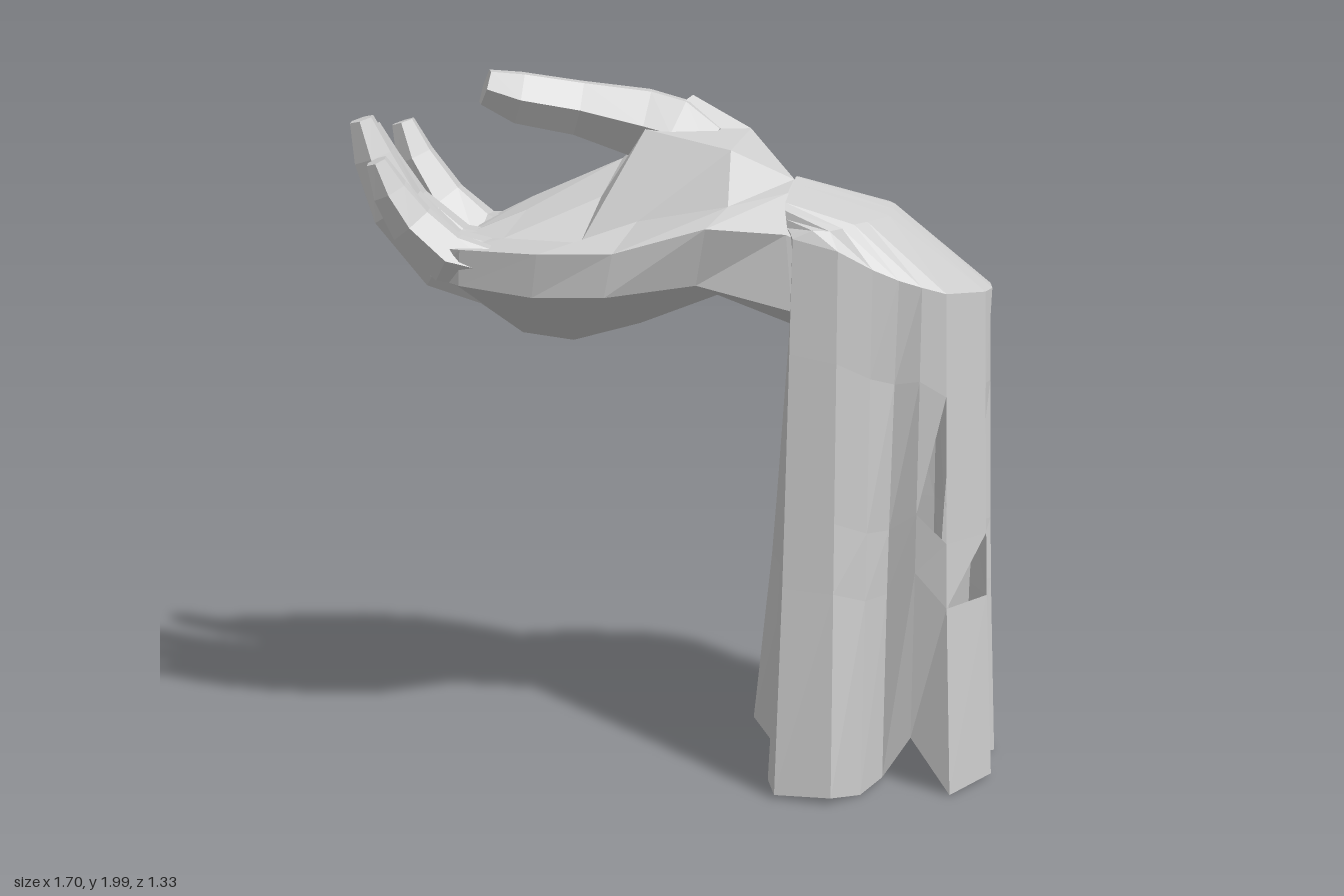
import * as THREE from 'three';

const V = (p) => new THREE.Vector3(...p);

function meshFrom(name, positions, side = THREE.FrontSide) {
  const geometry = new THREE.BufferGeometry();
  geometry.setAttribute('position', new THREE.Float32BufferAttribute(positions, 3));
  geometry.computeVertexNormals();
  const material = new THREE.MeshStandardMaterial({ color: 0xcccccc, flatShading: true, side });
  const mesh = new THREE.Mesh(geometry, material);
  mesh.name = name;
  return mesh;
}

// Closed skin over a row of cross-sections, capped at both ends
function loft(name, rings) {
  const tris = [];
  const n = rings[0].length;
  for (let r = 0; r < rings.length - 1; r++) {
    for (let i = 0; i < n; i++) {
      const j = (i + 1) % n;
      const [a, b, c, d] = [rings[r][i], rings[r][j], rings[r + 1][j], rings[r + 1][i]];
      tris.push([a, b, c], [a, c, d]);
    }
  }
  const center = (ring) => ring.reduce((s, p) => s.add(p), new THREE.Vector3()).divideScalar(n);
  const first = rings[0], last = rings[rings.length - 1];
  const c0 = center(first), c1 = center(last);
  for (let i = 0; i < n; i++) {
    const j = (i + 1) % n;
    tris.push([c0, first[j], first[i]], [c1, last[i], last[j]]);
  }
  // Turn every face outward
  const volume = tris.reduce((s, [a, b, c]) => s + a.dot(b.clone().cross(c)), 0);
  if (volume < 0) tris.forEach((t) => t.reverse());
  return meshFrom(name, tris.flat().flatMap((p) => p.toArray()));
}

// Tapered digit along a path of [x, y, z, radius]
function digit(name, path, sides = 6) {
  const across = V([0.45, 0, 0.9]).normalize();
  const pts = path.map((p) => V(p.slice(0, 3)));
  const rings = pts.map((p, k) => {
    const t = pts[Math.min(k + 1, pts.length - 1)].clone().sub(pts[Math.max(k - 1, 0)]).normalize();
    const n = across.clone().addScaledVector(t, -across.dot(t)).normalize();
    const b = t.clone().cross(n);
    return Array.from({ length: sides }, (_, i) => {
      const a = (i / sides) * Math.PI * 2;
      return p.clone()
        .addScaledVector(n, Math.cos(a) * path[k][3])
        .addScaledVector(b, Math.sin(a) * path[k][3]);
    });
  });
  return loft(name, rings);
}

// Palm sections, wrist to finger webs: thumb edge, thumb mound, hollow, little-finger edge, back of hand
function makePalm() {
  const sections = [
    [[.21, 1.58, -.32], [.26, 1.69, -.18], [.29, 1.70, -.11], [.31, 1.67, -.03], [.36, 1.57, .08], [.37, 1.36, .06], [.32, 1.29, -.10], [.21, 1.38, -.30]],
    [[.05, 1.72, -.29], [.12, 1.83, -.18], [.14, 1.78, -.02], [.20, 1.64, .11], [.19, 1.59, .22], [.14, 1.43, .18], [.11, 1.38, 0], [.04, 1.43, -.26]],
    [[-.12, 1.77, -.26], [-.05, 1.92, -.15], [-.12, 1.83, 0], [-.06, 1.59, .15], [0, 1.53, .385], [-.03, 1.41, .38], [-.08, 1.30, .10], [-.14, 1.46, -.23]],
    [[-.33, 1.65, -.18], [-.24, 1.74, -.08], [-.24, 1.64, .04], [-.20, 1.53, .22], [-.17, 1.53, .49], [-.20, 1.41, .47], [-.25, 1.25, .18], [-.33, 1.40, -.11]],
    [[-.51, 1.60, -.08], [-.47, 1.63, .04], [-.44, 1.60, .12], [-.40, 1.54, .30], [-.36, 1.54, .57], [-.38, 1.44, .55], [-.38, 1.27, .24], [-.51, 1.41, -.02]],
    [[-.62, 1.55, .02], [-.60, 1.56, .10], [-.58, 1.54, .18], [-.55, 1.53, .34], [-.46, 1.54, .56], [-.47, 1.46, .55], [-.55, 1.40, .32], [-.61, 1.43, .08]],
  ].map((s) => s.map(V));
  // Forearm end hidden in the sleeve
  const mid = V([.29, 1.5, -.11]);
  const forearm = sections[0].map((p) =>
    p.clone().sub(mid).multiplyScalar(0.8).add(mid).add(V([.18, -.08, -.08])));
  return loft('palm', [forearm, ...sections]);
}

// Pleated cloth: columns run from the hem over the shoulder fold to the wrist opening
function makeSleeve() {
  // hem x, hem z, fold x, fold z, fold y
  const columns = [
    [.30, .04, .36, .04, 1.44], [.38, .16, .38, .08, 1.56], [.54, .13, .50, .05, 1.53],
    [.58, .02, .58, 0, 1.48], [.59, -.11, .64, -.04, 1.45], [.67, -.12, .69, -.08, 1.43],
    [.80, -.10, .74, -.13, 1.41], [.85, -.29, .79, -.29, 1.40], [.73, -.37, .78, -.37, 1.40],
    [.78, -.50, .74, -.46, 1.40], [.68, -.59, .67, -.55, 1.40], [.58, -.51, .61, -.60, 1.40],
    [.51, -.67, .52, -.61, 1.40], [.40, -.64, .42, -.60, 1.40], [.34, -.50, .37, -.58, 1.39],
    [.29, -.55, .33, -.53, 1.39], [.17, -.55, .26, -.47, 1.41], [.05, -.36, .17, -.36, 1.42],
    [.21, -.20, .24, -.26, 1.38], [.29, -.30, .28, -.30, 1.38],
  ];
  const recesses = [4, 8, 11, 14];
  const arch = [[.36, 1.54, .06], [.345, 1.65, .06], [.29, 1.715, -.13], [.21, 1.62, -.33], [.20, 1.43, -.35]].map(V);
  const last = columns.length - 1;
  const grid = columns.map(([hx, hz, fx, fz, fy], i) => {
    const hem = V([hx, i === 5 ? 0.14 : (i % 3) * 0.01, hz]);
    const fold = V([fx, fy, fz]);
    const u = (i / last) * 4, k = Math.min(3, Math.floor(u));
    const rim = arch[k].clone().lerp(arch[k + 1], u - k);
    const crown = fold.clone().lerp(rim, 0.5);
    crown.y += 0.075 * Math.sin((Math.PI * i) / last);
    // Recesses stay deep almost up to the fold; ridges flare toward the hem
    const bend = recesses.includes(i) ? 2 : 0.75;
    const hang = [0, 0.38, 0.51, 0.8].map((t) => {
      const p = hem.clone().lerp(fold, t ** bend);
      p.y = THREE.MathUtils.lerp(hem.y, fy, t);
      return p;
    });
    return [...hang, fold, crown, rim];
  });
  const out = [];
  for (let i = 0; i < last; i++) {
    for (let r = 0; r < grid[0].length - 1; r++) {
      const [a, b, c, d] = [grid[i][r], grid[i + 1][r], grid[i + 1][r + 1], grid[i][r + 1]];
      // Two small tears in the cloth
      const torn = (i === 5 && r === 2) || (i === 6 && r === 1);
      if (!torn) out.push(a, b, c);
      out.push(a, c, d);
    }
  }
  return meshFrom('sleeve', out.flatMap((p) => p.toArray()), THREE.DoubleSide);
}

export function createModel() {
  const model = new THREE.Group();
  model.name = 'handWithSleeve';
  model.add(makeSleeve(), makePalm());

  const digits = {
    thumb: [[.03, 1.77, -.14, .07], [-.08, 1.81, -.13, .11], [-.18, 1.84, -.09, .11], [-.33, 1.885, .02, .085], [-.46, 1.915, .125, .08], [-.53, 1.945, .185, .055]],
    indexFinger: [[-.42, 1.50, 0, .10], [-.62, 1.50, .08, .095], [-.73, 1.61, .125, .08], [-.795, 1.74, .16, .06], [-.82, 1.84, .18, .035]],
    middleFinger: [[-.38, 1.42, .17, .12], [-.60, 1.48, .26, .1], [-.715, 1.61, .325, .082], [-.775, 1.74, .355, .063], [-.80, 1.84, .37, .035]],
    ringFinger: [[-.35, 1.43, .31, .10], [-.53, 1.49, .40, .095], [-.635, 1.63, .465, .08], [-.68, 1.77, .505, .06], [-.70, 1.87, .53, .035]],
    littleFinger: [[-.30, 1.47, .45, .06], [-.43, 1.51, .52, .075], [-.515, 1.60, .565, .068], [-.555, 1.69, .605, .052], [-.575, 1.77, .635, .03]],
  };
  for (const [name, path] of Object.entries(digits)) model.add(digit(name, path));
  return model;
}
